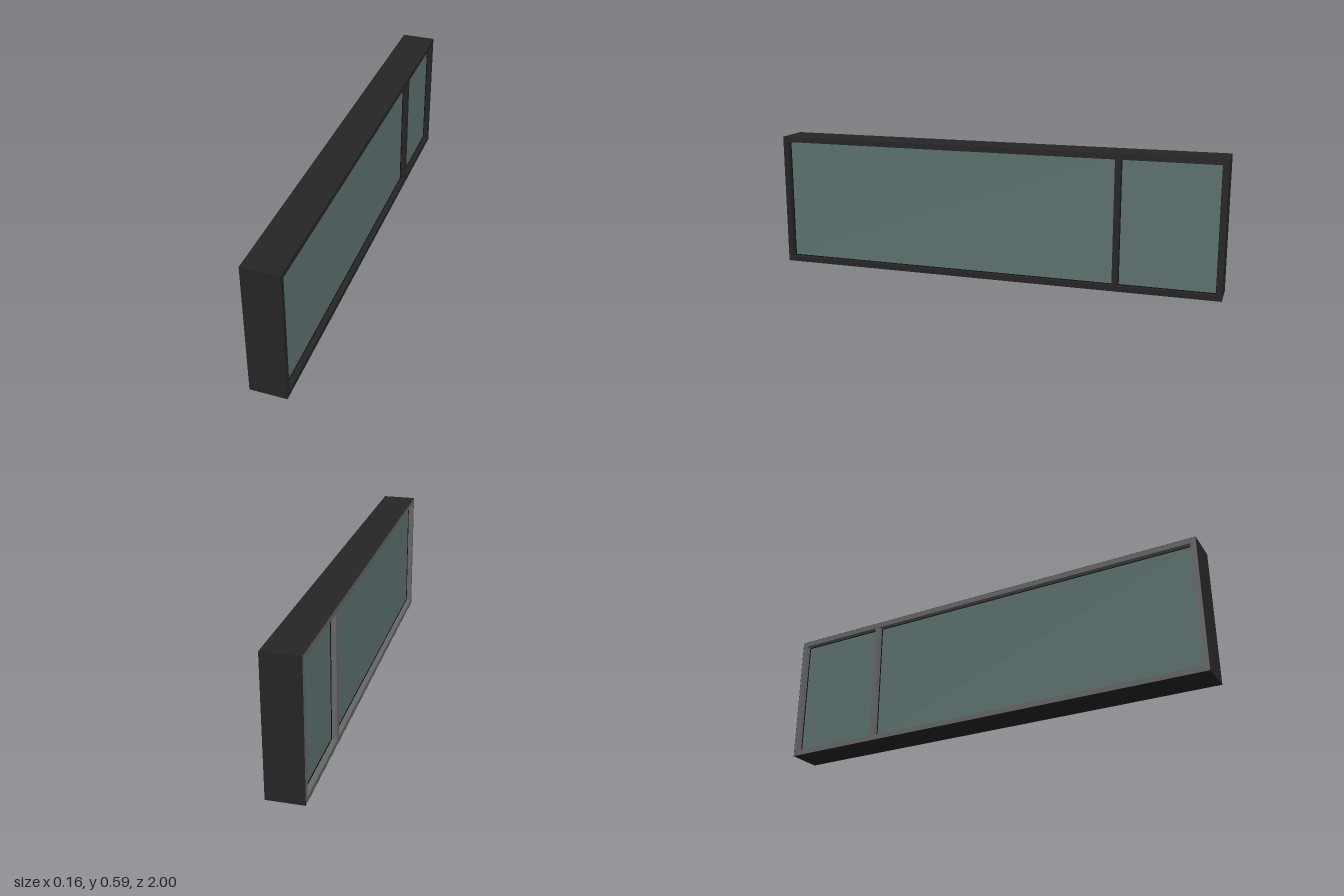
import * as THREE from 'three';

const H = 0.59, HALF_D = 0.0775, BAR = 0.024, GLASS = 0.053;
// pane openings as [zMin, zMax], either side of the mullion
const OPENINGS = [[-0.542, 1 - BAR], [-1 + BAR, -0.566]];

const material = (color) => new THREE.MeshStandardMaterial({ color });

// rectangle in the z-y plane, grown inward by inset
function rect(path, z0, z1, y0, y1, inset = 0) {
  const a = -z1 + inset, b = -z0 - inset, c = y0 + inset, d = y1 - inset;
  path.moveTo(a, c).lineTo(b, c).lineTo(b, d).lineTo(a, d).closePath();
  return path;
}

// flat outline with holes, extruded along x from x0 to x1
function slab(name, shape, holes, x0, x1, mat) {
  shape.holes.push(...holes);
  const geo = new THREE.ExtrudeGeometry(shape, { depth: x1 - x0, bevelEnabled: false });
  geo.translate(0, 0, x0).rotateY(Math.PI / 2);
  const mesh = new THREE.Mesh(geo, mat);
  mesh.name = name;
  return mesh;
}

export function createModel() {
  const group = new THREE.Group();
  group.name = 'window';
  const dark = material(0x262626), grey = material(0x686868);
  const rubber = material(0x101010), glass = material(0x5f7472);

  const outer = (inset = 0) => rect(new THREE.Shape(), -1, 1, 0, H, inset);
  const holes = () => OPENINGS.map(([a, b]) => rect(new THREE.Path(), a, b, BAR, H - BAR));

  // dark main frame with mullion, and its thin skin around the inner trim
  const split = -GLASS - 0.003, skin = 0.001;
  group.add(slab('outerFrame', outer(), holes(), split, HALF_D, dark));
  group.add(slab('frameSkin', outer(), [rect(new THREE.Path(), -1, 1, 0, H, skin)], -HALF_D, split, dark));

  // lighter trim on the inner side
  group.add(slab('innerTrim', outer(skin), holes(), -HALF_D, split, grey));

  // glazing unit and surrounding gasket in each opening
  OPENINGS.forEach(([a, b], i) => {
    const name = i ? 'small' : 'large';
    const pane = () => rect(new THREE.Shape(), a, b, BAR, H - BAR);
    const inner = rect(new THREE.Path(), a, b, BAR, H - BAR, 0.003);
    group.add(slab(name + 'Gasket', pane(), [inner], split, -split, rubber));
    const unit = new THREE.Mesh(new THREE.BoxGeometry(2 * GLASS, H - 2 * BAR - 0.004, b - a - 0.004), glass);
    unit.position.set(0, H / 2, (a + b) / 2);
    unit.name = name + 'Glass';
    group.add(unit);
  });
  return group;
}
